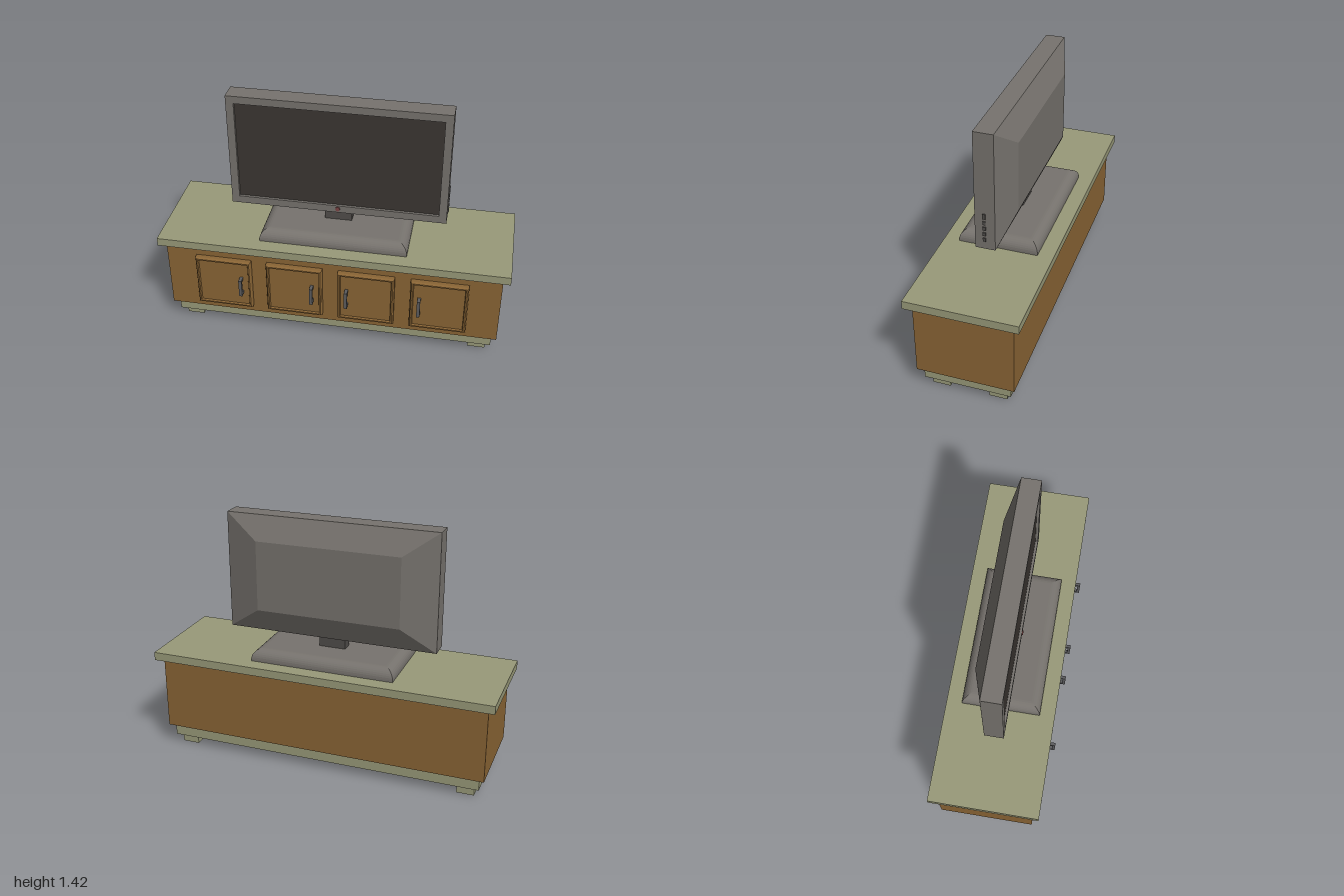
import * as THREE from 'three';

const mat = (color) => new THREE.MeshStandardMaterial({ color, flatShading: true });
const green = mat(0x999a79), brown = mat(0x8a6535), grey = mat(0x77736e);
const dark = mat(0x504d4a), screenMat = mat(0x3b3632), metal = mat(0x5c5c5e), red = mat(0x7a4444);

// Closed solid through rectangular rings [halfWidth, halfHeight, z], ordered along its surface
function rectLoft(rings) {
  const pos = [];
  const corners = rings.map(([w, h, z]) => [[-w, -h, z], [w, -h, z], [w, h, z], [-w, h, z]]);
  const quad = (a, b, c, d) => pos.push(...a, ...b, ...c, ...a, ...c, ...d);
  for (let r = 0; r < corners.length - 1; r++) {
    const a = corners[r], b = corners[r + 1];
    for (let i = 0; i < 4; i++) {
      const j = (i + 1) % 4;
      quad(a[i], a[j], b[j], b[i]);
    }
  }
  const s = corners[0], e = corners[corners.length - 1];
  quad(s[3], s[2], s[1], s[0]);
  quad(e[0], e[1], e[2], e[3]);
  const g = new THREE.BufferGeometry();
  g.setAttribute('position', new THREE.Float32BufferAttribute(pos, 3));
  g.computeVertexNormals();
  return g;
}

function add(parent, name, geometry, material, x = 0, y = 0, z = 0) {
  const m = new THREE.Mesh(geometry, material);
  m.name = name;
  m.position.set(x, y, z);
  parent.add(m);
  return m;
}

// Box given by its extents
function box(parent, name, material, x0, x1, y0, y1, z0, z1) {
  return add(parent, name, new THREE.BoxGeometry(x1 - x0, y1 - y0, z1 - z0), material,
    (x0 + x1) / 2, (y0 + y1) / 2, (z0 + z1) / 2);
}

function makeCabinet() {
  const g = new THREE.Group();
  g.name = 'cabinet';
  box(g, 'cabinetTop', green, -1, 1, 0.562, 0.61, -0.325, 0.297);
  box(g, 'cabinetBody', brown, -0.96, 0.96, 0.128, 0.562, -0.286, 0.26);
  box(g, 'plinth', green, -0.93, 0.93, 0.055, 0.128, -0.257, 0.23);
  for (const x of [-0.85, 0.85])
    for (const z of [-0.177, 0.145])
      box(g, 'foot', green, x - 0.05, x + 0.05, 0, 0.055, z - 0.05, z + 0.05);

  // Doors with a raised rim, and their pull handles
  const door = rectLoft([
    [0.162, 0.162, 0.255], [0.162, 0.162, 0.284], [0.155, 0.155, 0.295],
    [0.147, 0.147, 0.295], [0.143, 0.143, 0.284],
  ]);
  const doors = [[-0.623, -0.518], [-0.209, -0.104], [0.205, 0.096], [0.619, 0.51]];
  for (const [x, hx] of doors) {
    add(g, 'door', door, brown, x, 0.338, 0);
    const h = new THREE.Group();
    h.name = 'handle';
    box(h, 'handleBar', metal, hx - 0.009, hx + 0.009, 0.28, 0.39, 0.309, 0.325);
    for (const y of [0.28, 0.374])
      box(h, 'handlePost', metal, hx - 0.009, hx + 0.009, y, y + 0.016, 0.282, 0.309);
    g.add(h);
  }
  return g;
}

function makeTelevision() {
  const g = new THREE.Group();
  g.name = 'television';

  // Stand with rounded shoulders
  const rings = [[0.42, 0.224, 0], [0.42, 0.224, 0.012]];
  for (let i = 1; i <= 8; i++) {
    const t = (i / 8) * Math.PI / 2;
    const inset = 0.055 * (1 - Math.cos(t));
    rings.push([0.42 - inset, 0.224 - inset, 0.012 + 0.057 * Math.sin(t)]);
  }
  add(g, 'standBase', rectLoft(rings).rotateX(-Math.PI / 2), grey, 0, 0.61, -0.013);
  box(g, 'standNeck', dark, -0.078, 0.078, 0.67, 0.76, -0.045, 0.016);

  // Casing: tapered back, straight sides, bezel and recessed front
  add(g, 'casing', rectLoft([
    [0.42, 0.203, -0.132], [0.616, 0.341, -0.07], [0.616, 0.341, 0.04],
    [0.572, 0.297, 0.04], [0.572, 0.297, 0.022],
  ]), grey, 0, 1.083, 0);
  add(g, 'screen', new THREE.BoxGeometry(1.143, 0.593, 0.006), screenMat, 0, 1.083, 0.022);

  // Power light and side buttons
  add(g, 'powerLight', new THREE.CylinderGeometry(0.013, 0.013, 0.012, 16).rotateX(Math.PI / 2),
    red, 0, 0.766, 0.04);
  box(g, 'powerButton', dark, 0.61, 0.622, 0.927, 0.957, -0.02, -0.004);
  for (let i = 0; i < 4; i++) {
    const y = 0.8 + i * 0.034;
    box(g, 'sideButton', dark, 0.61, 0.622, y - 0.01, y + 0.01, -0.02, -0.004);
  }
  return g;
}

export function createModel() {
  const model = new THREE.Group();
  model.name = 'televisionOnCabinet';
  model.add(makeCabinet(), makeTelevision());
  return model;
}
